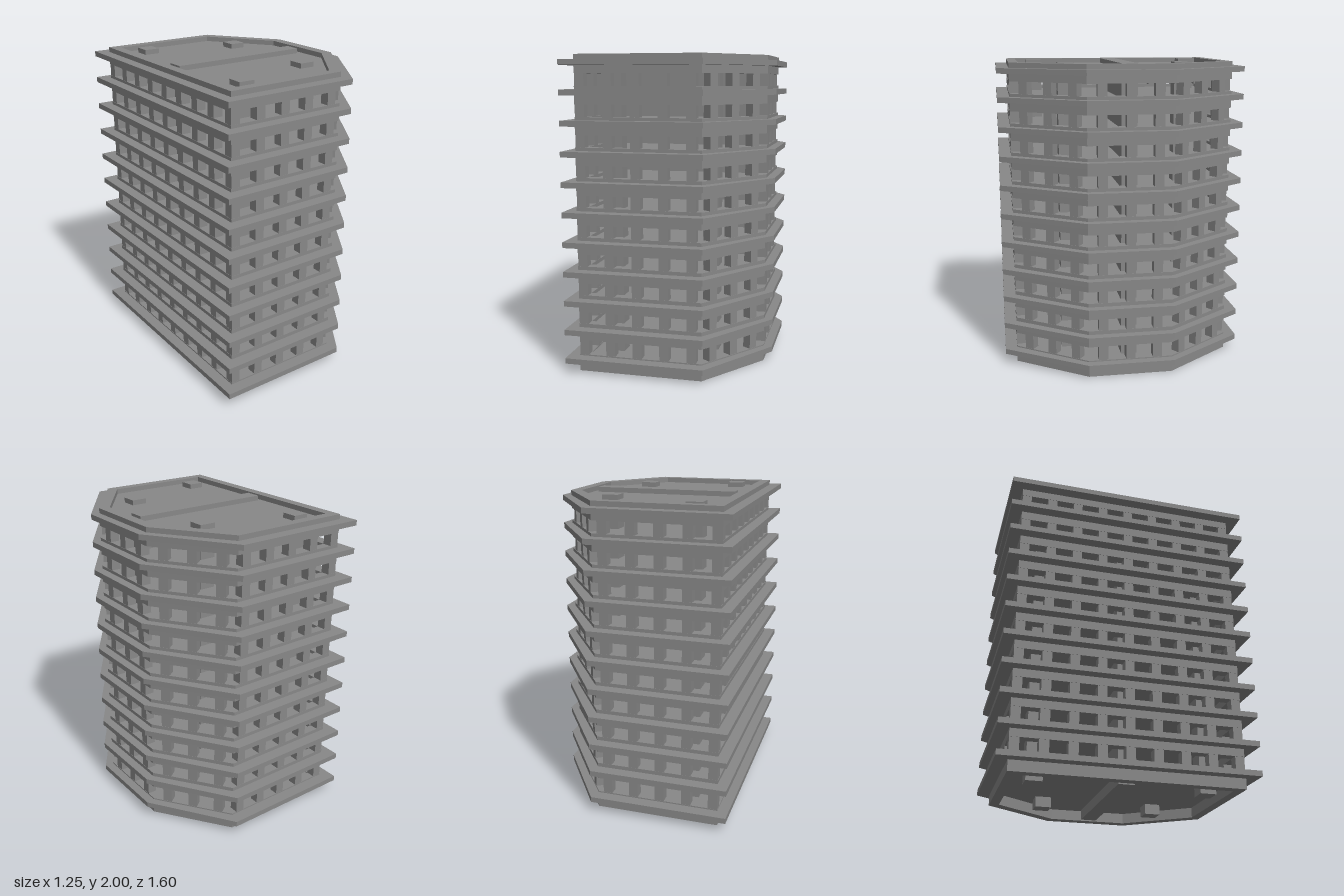
import * as THREE from 'three';

const material = new THREE.MeshStandardMaterial({ color: 0x888888, flatShading: true });
const STOREYS = 10, PITCH = 0.1867, PIER = 0.06;

// Six-sided plan mirrored about z = 0: flat left side, chamfered right corners
const plan = (left, shoulder, right, depth, nose) => [
  [left, -depth], [shoulder, -depth], [right, -nose],
  [right, nose], [shoulder, depth], [left, depth],
].map(([x, z]) => new THREE.Vector2(x, z));

const slabPlan = plan(-0.623, 0.268, 0.623, 0.802, 0.28);
const wallOuter = plan(-0.553, 0.244, 0.567, 0.725, 0.274);
const wallInner = plan(-0.49, 0.204, 0.5, 0.664, 0.256);

// Horizontal plate, optionally hollow, lying from y to y + height
function plate(name, outline, hole, y, height) {
  const shape = new THREE.Shape(outline);
  if (hole) shape.holes.push(new THREE.Path(hole));
  const geometry = new THREE.ExtrudeGeometry(shape, { depth: height, bevelEnabled: false });
  geometry.rotateX(-Math.PI / 2);
  const mesh = new THREE.Mesh(geometry, material);
  mesh.name = name;
  mesh.position.y = y;
  return mesh;
}

// Upright block running from y0 to y1
function post(name, x, z, width, depth, y0, y1, turn = 0) {
  const mesh = new THREE.Mesh(new THREE.BoxGeometry(width, y1 - y0, depth), material);
  mesh.name = name;
  mesh.position.set(x, (y0 + y1) / 2, z);
  mesh.rotation.y = turn;
  return mesh;
}

export function createModel() {
  const tower = new THREE.Group();
  tower.name = 'tower';

  // Floor slabs with projecting edges, the roof set slightly lower
  for (let i = 0; i < STOREYS; i++) {
    tower.add(plate('floorSlab', slabPlan, null, 0.067 + i * 0.1874, 0.035));
  }
  tower.add(plate('roofSlab', slabPlan, null, 1.934, 0.034));

  // Hollow wall bands between the rows of windows, the last one forming the parapet
  tower.add(plate('baseBand', wallOuter, wallInner, 0, 0.11));
  for (let i = 0; i < STOREYS - 1; i++) {
    tower.add(plate('wallBand', wallOuter, wallInner, 0.204 + i * PITCH, 0.11));
  }
  tower.add(plate('parapet', wallOuter, wallInner, 1.885, 0.115));

  // Window piers standing inside the wall thickness
  const piers = new THREE.Group();
  piers.name = 'windowPiers';
  const addPier = (x, z, turn = 0) =>
    piers.add(post('pier', x, z, PIER, PIER, 0.09, 1.95, turn));

  for (let i = -4; i <= 4; i++) addPier(-0.521, i * 0.1735);
  for (let i = -1; i <= 1; i++) addPier(0.535, i * 0.178);
  // Chamfered faces
  const angle = Math.atan2(0.451, 0.322);
  const nx = Math.sin(angle), nz = Math.cos(angle);
  for (const side of [-1, 1]) {
    for (let i = 1; i <= 4; i++) addPier(-0.521 + i * 0.175, side * 0.694);
    for (let i = -1; i <= 1; i++) {
      const along = i * 0.178;
      addPier(0.405 - nx * 0.031 + nz * along, side * (0.4995 - nz * 0.031 - nx * along), side * angle);
    }
  }
  tower.add(piers);

  // Core wall and square columns running through every storey
  tower.add(post('coreWall', 0.001, -0.004, 0.93, 0.103, 0, 2));
  for (const [x, z] of [[-0.348, -0.545], [0.238, -0.378], [0.238, 0.372], [-0.348, 0.54]]) {
    tower.add(post('column', x, z, 0.103, 0.103, 0, 2));
  }

  return tower;
}
